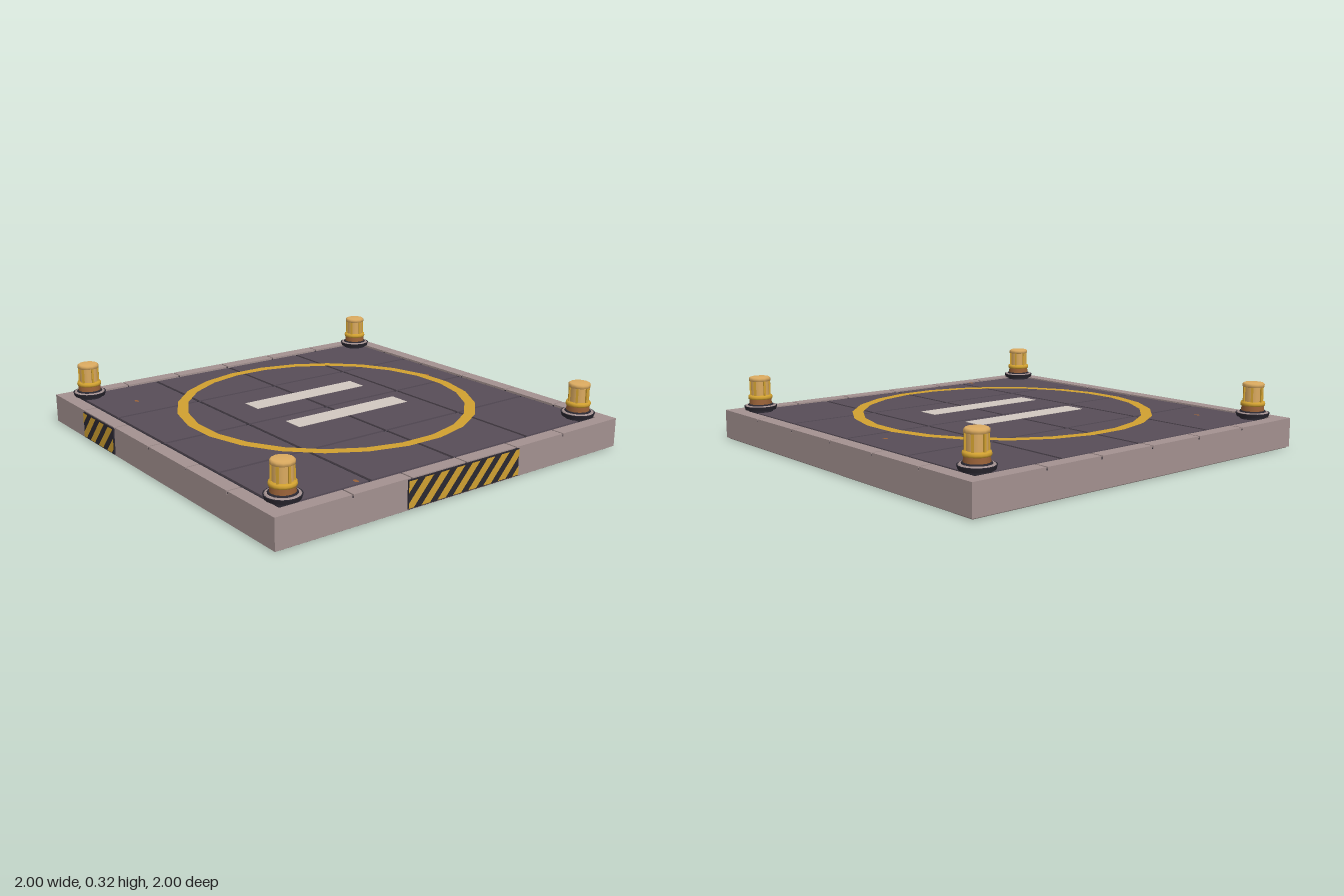
import * as THREE from 'three';

const mat = (color, opts = {}) => new THREE.MeshStandardMaterial({ color, ...opts });
const M = {
  wall: mat(0xa39190), dark: mat(0x2b2831), deck: mat(0x574d58), gold: mat(0xd0a030),
  pale: mat(0xd2c8c0), rust: mat(0x9a6238), lens: mat(0xdcab60), under: mat(0x6b605d),
};
M.paint = mat(0xd0a030, { side: THREE.DoubleSide });
M.stain = mat(0x9a6238, { side: THREE.DoubleSide });
const C = -0.005; // centre of the slab in x and z; the hazard plates fill the last bit

function add(parent, name, geo, material, x = 0, y = 0, z = 0) {
  const mesh = new THREE.Mesh(geo, material);
  mesh.name = name;
  mesh.position.set(x, y, z);
  parent.add(mesh);
  return mesh;
}

// box given by its limits
function slab(parent, name, material, x0, x1, y0, y1, z0, z1) {
  return add(parent, name, new THREE.BoxGeometry(x1 - x0, y1 - y0, z1 - z0), material,
    (x0 + x1) / 2, (y0 + y1) / 2, (z0 + z1) / 2);
}

// keep the part of a polygon where sign * x <= sign * limit
function clip(points, limit, sign) {
  const out = [];
  points.forEach((a, i) => {
    const b = points[(i + 1) % points.length];
    const inA = sign * a.x <= sign * limit, inB = sign * b.x <= sign * limit;
    if (inA) out.push(a);
    if (inA !== inB) out.push(a.clone().lerp(b, (limit - a.x) / (b.x - a.x)));
  });
  return out;
}

// dark plate with slanted yellow stripes, facing +z
function hazardPlate(width, height) {
  const g = new THREE.Group();
  slab(g, 'hazardBacking', M.dark, -width / 2, width / 2, 0, height, -0.006, 0.005);
  const pitch = 0.09, stripe = 0.048, lean = 0.11;
  for (let u = -width / 2 - lean; u < width / 2; u += pitch) {
    let pts = [[u, 0.004], [u + stripe, 0.004], [u + stripe + lean, height - 0.004],
      [u + lean, height - 0.004]].map(p => new THREE.Vector2(...p));
    pts = clip(clip(pts, width / 2, 1), -width / 2, -1);
    if (pts.length > 2) {
      add(g, 'hazardStripe', new THREE.ShapeGeometry(new THREE.Shape(pts)), M.paint, 0, 0, 0.007);
    }
  }
  return g;
}

// corner beacon: foot, flange, collar and a ribbed lamp
function beacon() {
  const g = new THREE.Group();
  const lathe = (name, profile, sides, material) => add(g, name,
    new THREE.LatheGeometry(profile.map(p => new THREE.Vector2(...p)), sides), material);
  const drum = (name, r0, r1, y0, y1, sides, material) => add(g, name,
    new THREE.CylinderGeometry(r1, r0, y1 - y0, sides), material, 0, (y0 + y1) / 2, 0);
  drum('beaconFoot', 0.06, 0.06, 0.135, 0.157, 16, M.dark);
  drum('beaconFlange', 0.076, 0.082, 0.155, 0.174, 20, M.dark);
  drum('beaconFlangeTop', 0.076, 0.072, 0.174, 0.178, 20, M.wall);
  drum('beaconSeat', 0.064, 0.06, 0.178, 0.184, 16, M.dark);
  drum('beaconCollar', 0.056, 0.054, 0.18, 0.211, 16, M.rust);
  lathe('beaconRing', [[0.045, 0.207], [0.058, 0.209], [0.06, 0.217], [0.058, 0.227],
    [0.045, 0.229]], 16, M.gold);
  drum('beaconLens', 0.045, 0.045, 0.225, 0.3, 12, M.lens);
  lathe('beaconCap', [[0.044, 0.298], [0.053, 0.3], [0.053, 0.314], [0.046, 0.32],
    [0, 0.32]], 12, M.lens);
  for (let i = 0; i < 6; i++) {
    const a = i * Math.PI / 3;
    const rib = add(g, 'beaconRib', new THREE.BoxGeometry(0.01, 0.08, 0.01), M.gold,
      Math.cos(a) * 0.046, 0.263, Math.sin(a) * 0.046);
    rib.rotation.y = -a;
  }
  return g;
}

export function createModel() {
  const root = new THREE.Group();
  root.name = 'landingPad';
  const H = 0.995; // half width of the slab

  // base
  slab(root, 'baseWall', M.wall, C - H, C + H, 0.006, 0.132, C - H, C + H);
  slab(root, 'underside', M.under, C - H + 0.01, C + H - 0.01, 0, 0.01, C - H + 0.01, C + H - 0.01);
  slab(root, 'deckBed', M.dark, C - 0.96, C + 0.96, 0.12, 0.136, C - 0.96, C + 0.96);

  // kerb of six blocks a side, with narrow joints
  const rim = new THREE.Group();
  rim.name = 'kerb';
  rim.position.set(C, 0, C);
  root.add(rim);
  const joints = [-0.66, -0.33, 0, 0.33, 0.66];
  for (let side = 0; side < 4; side++) {
    const run = new THREE.Group();
    run.name = 'kerbSide';
    run.rotation.y = side * Math.PI / 2;
    rim.add(run);
    const pos = side % 2 ? joints.map(j => j * 0.935) : joints;
    const ends = [-H, ...pos, H - 0.068];
    for (let i = 0; i < 6; i++) {
      slab(run, 'kerbBlock', M.wall, ends[i] + (i ? 0.004 : 0), ends[i + 1] - (i < 5 ? 0.004 : 0),
        0.13, 0.147, H - 0.068, H);
    }
    for (const j of pos) {
      slab(run, 'kerbJoint', M.dark, j - 0.005, j + 0.005, 0.13, 0.14, H - 0.068, H - 0.002);
    }
  }

  // deck: four by four plates with dark seams
  const edges = [-0.915, -0.46, 0, 0.46, 0.915];
  for (let i = 0; i < 4; i++) {
    for (let k = 0; k < 4; k++) {
      slab(root, 'deckPlate', M.deck, C + edges[i] + 0.008, C + edges[i + 1] - 0.008, 0.13, 0.144,
        C + edges[k] + 0.008, C + edges[k + 1] - 0.008);
    }
  }

  // painted circle and parallel landing bars
  const circle = add(root, 'landingCircle', new THREE.RingGeometry(0.687, 0.74, 24, 1, Math.PI / 24),
    M.paint, C, 0.166, C);
  circle.rotation.x = -Math.PI / 2;
  for (const s of [-1, 1]) {
    slab(root, 'landingBar', M.pale, C + s * 0.175 - 0.055, C + s * 0.175 + 0.055, 0.164, 0.166,
      C - 0.33, C + 0.33);
  }

  // small rust stains
  for (const [x, z] of [[-0.13, -0.79], [0.88, 0.51], [-0.65, 0.71]]) {
    const stain = add(root, 'rustStain', new THREE.CircleGeometry(0.018, 6), M.stain, x, 0.147, z);
    stain.rotation.x = -Math.PI / 2;
    stain.scale.y = 0.6;
  }

  // hazard plates on the front and left walls
  const front = hazardPlate(0.32, 0.13);
  front.name = 'frontHazardPlate';
  front.position.set(-0.5, 0.012, 0.992);
  const left = hazardPlate(0.65, 0.13);
  left.name = 'leftHazardPlate';
  left.position.set(0.992, 0.012, 0);
  left.rotation.y = Math.PI / 2;
  root.add(front, left);

  // corner beacons
  for (const sx of [-1, 1]) {
    for (const sz of [-1, 1]) {
      const b = beacon();
      b.name = 'cornerBeacon';
      b.position.set(C + sx * 0.866, 0, C + sz * 0.866);
      root.add(b);
    }
  }
  return root;
}
